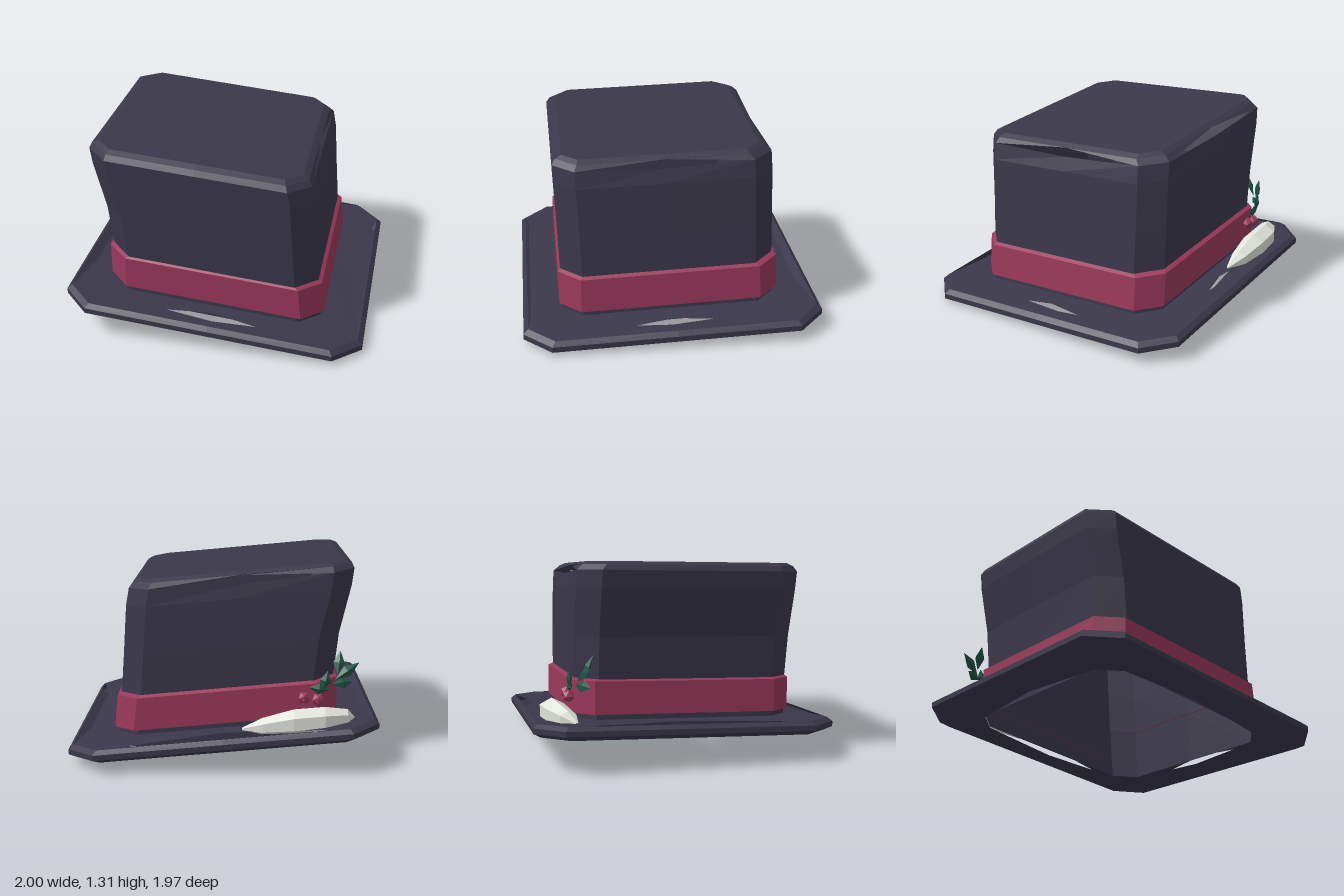
import * as THREE from 'three';

const mat = (name, color) => {
  const m = new THREE.MeshStandardMaterial({ color, side: THREE.DoubleSide, flatShading: true });
  m.name = name;
  return m;
};

// Height of a point on the tilted hat
const tilt = (x, h, z) => new THREE.Vector3(x, h - 0.094 * x - 0.03 * z, z);

// Chamfered square loop of 12 points; dents = [+x, +z, -x, -z] pull-in of side midpoints, lift raises them
function ring(h, x0, x1, z0, z1, c, dents = [0, 0, 0, 0], lift = 0) {
  const mx = (x0 + x1) / 2, mz = (z0 + z1) / 2;
  const up = (i) => h + (dents[i] ? lift : 0);
  return [
    tilt(x1 - dents[0], up(0), mz), tilt(x1, h, z1 - c), tilt(x1 - c, h, z1),
    tilt(mx, up(1), z1 - dents[1]), tilt(x0 + c, h, z1), tilt(x0, h, z1 - c),
    tilt(x0 + dents[2], up(2), mz), tilt(x0, h, z0 + c), tilt(x0 + c, h, z0),
    tilt(mx, up(3), z0 + dents[3]), tilt(x1 - c, h, z0), tilt(x1, h, z0 + c),
  ];
}

// Flat-faced skin over a stack of loops, optionally closed on top
function loft(rings, cap = false) {
  const pos = [];
  const tri = (...pts) => pts.forEach((p) => pos.push(p.x, p.y, p.z));
  for (let r = 0; r < rings.length - 1; r++) {
    const a = rings[r], b = rings[r + 1], n = a.length;
    for (let i = 0; i < n; i++) {
      const j = (i + 1) % n;
      tri(a[i], b[i], a[j]);
      tri(a[j], b[i], b[j]);
    }
  }
  if (cap) {
    const top = rings[rings.length - 1], n = top.length;
    const mid = top.reduce((s, p) => s.add(p), new THREE.Vector3()).divideScalar(n);
    for (let i = 0; i < n; i++) tri(mid, top[(i + 1) % n], top[i]);
  }
  const g = new THREE.BufferGeometry();
  g.setAttribute('position', new THREE.Float32BufferAttribute(pos, 3));
  g.computeVertexNormals();
  return g;
}

export function createModel() {
  const felt = mat('dark felt', 0x3a374a);
  const ribbon = mat('red ribbon', 0x99385a);
  const plume = mat('pale feather', 0xe0e4da);
  const green = mat('leaf green', 0x1f5645);

  const hat = new THREE.Group();
  hat.name = 'topHat';
  const add = (name, geo, material, parent = hat) => {
    const m = new THREE.Mesh(geo, material);
    m.name = name;
    parent.add(m);
    return m;
  };

  // Brim: underside and rounded edge, then the worn top sheet
  add('brimEdge', loft([
    ring(0.12, -0.71, 0.69, -0.71, 0.71, 0.13, [-0.06, -0.06, -0.06, -0.06]),
    ring(0.12, -0.95, 0.95, -0.94, 0.93, 0.17),
    ring(0.15, -1, 1, -0.99, 0.98, 0.18),
    ring(0.185, -1, 1, -0.99, 0.98, 0.18),
    ring(0.21, -0.97, 0.97, -0.96, 0.95, 0.17),
  ]), felt);
  add('brimTop', loft([
    ring(0.21, -0.97, 0.97, -0.96, 0.95, 0.17, [0.15, 0.15, 0.15, 0.15]),
    ring(0.215, -0.72, 0.70, -0.71, 0.72, 0.13),
  ]), felt);

  // Crown wall, leaning to one side
  add('crownWall', loft([
    ring(0.13, -0.71, 0.70, -0.71, 0.72, 0.13),
    ring(0.48, -0.72, 0.675, -0.70, 0.725, 0.14),
    ring(0.75, -0.75, 0.655, -0.70, 0.735, 0.14),
    ring(1.06, -0.825, 0.635, -0.695, 0.75, 0.14),
    ring(1.17, -0.84, 0.615, -0.69, 0.755, 0.14, [0.008, 0, 0, 0.008], -0.02),
  ]), felt);

  // Crown lid, parted from the wall on two sides
  add('crownLid', loft([
    ring(1.17, -0.84, 0.615, -0.69, 0.755, 0.14, [0.035, 0, 0, 0.05], 0.03),
    ring(1.205, -0.825, 0.59, -0.65, 0.73, 0.13),
    ring(1.225, -0.78, 0.55, -0.61, 0.69, 0.1),
  ], true), felt);

  // Ribbon band
  add('ribbonBand', loft([
    ring(0.25, -0.71, 0.69, -0.70, 0.715, 0.13),
    ring(0.25, -0.742, 0.722, -0.732, 0.738, 0.14),
    ring(0.465, -0.742, 0.70, -0.728, 0.738, 0.14),
    ring(0.48, -0.71, 0.67, -0.70, 0.72, 0.14),
  ]), ribbon);

  // Feather: hexagonal sections along x [x, y, z, half height, half depth]
  const sections = [
    [-0.85, 0.31, -0.72, 0.01, 0.01], [-0.8, 0.335, -0.77, 0.05, 0.06],
    [-0.65, 0.335, -0.82, 0.08, 0.085], [-0.45, 0.32, -0.83, 0.08, 0.09],
    [-0.25, 0.285, -0.825, 0.055, 0.06], [-0.12, 0.26, -0.81, 0.008, 0.01],
  ].map(([x, y, z, ry, rz]) => Array.from({ length: 6 }, (_, i) => {
    const a = (i + 0.5) * Math.PI / 3;
    return new THREE.Vector3(x, y + Math.sin(a) * ry, z + Math.cos(a) * rz);
  }));
  add('feather', loft(sections, true), plume);

  // Leaf sprig: flattened diamonds from stem to tip
  const sprig = new THREE.Group();
  sprig.name = 'leafSprig';
  hat.add(sprig);
  [
    [[-0.72, 0.56, -0.70], [-0.88, 0.66, -0.64]],
    [[-0.74, 0.58, -0.67], [-0.76, 0.73, -0.60]],
    [[-0.70, 0.53, -0.71], [-0.84, 0.53, -0.63]],
    [[-0.64, 0.50, -0.74], [-0.67, 0.63, -0.74]],
    [[-0.68, 0.50, -0.73], [-0.55, 0.52, -0.74]],
  ].forEach(([a, b]) => {
    const from = new THREE.Vector3(...a), to = new THREE.Vector3(...b);
    const leaf = add('leaf', new THREE.OctahedronGeometry(1, 0), green, sprig);
    leaf.position.copy(from).lerp(to, 0.5);
    leaf.quaternion.setFromUnitVectors(new THREE.Vector3(0, 1, 0), to.clone().sub(from).normalize());
    leaf.scale.set(0.038, from.distanceTo(to) / 2, 0.02);
  });

  // Berries
  [[-0.52, 0.45], [-0.61, 0.44]].forEach(([x, y]) => {
    const berry = add('berry', new THREE.IcosahedronGeometry(0.042, 0), ribbon, sprig);
    berry.position.set(x, y, -0.74);
  });

  return hat;
}
